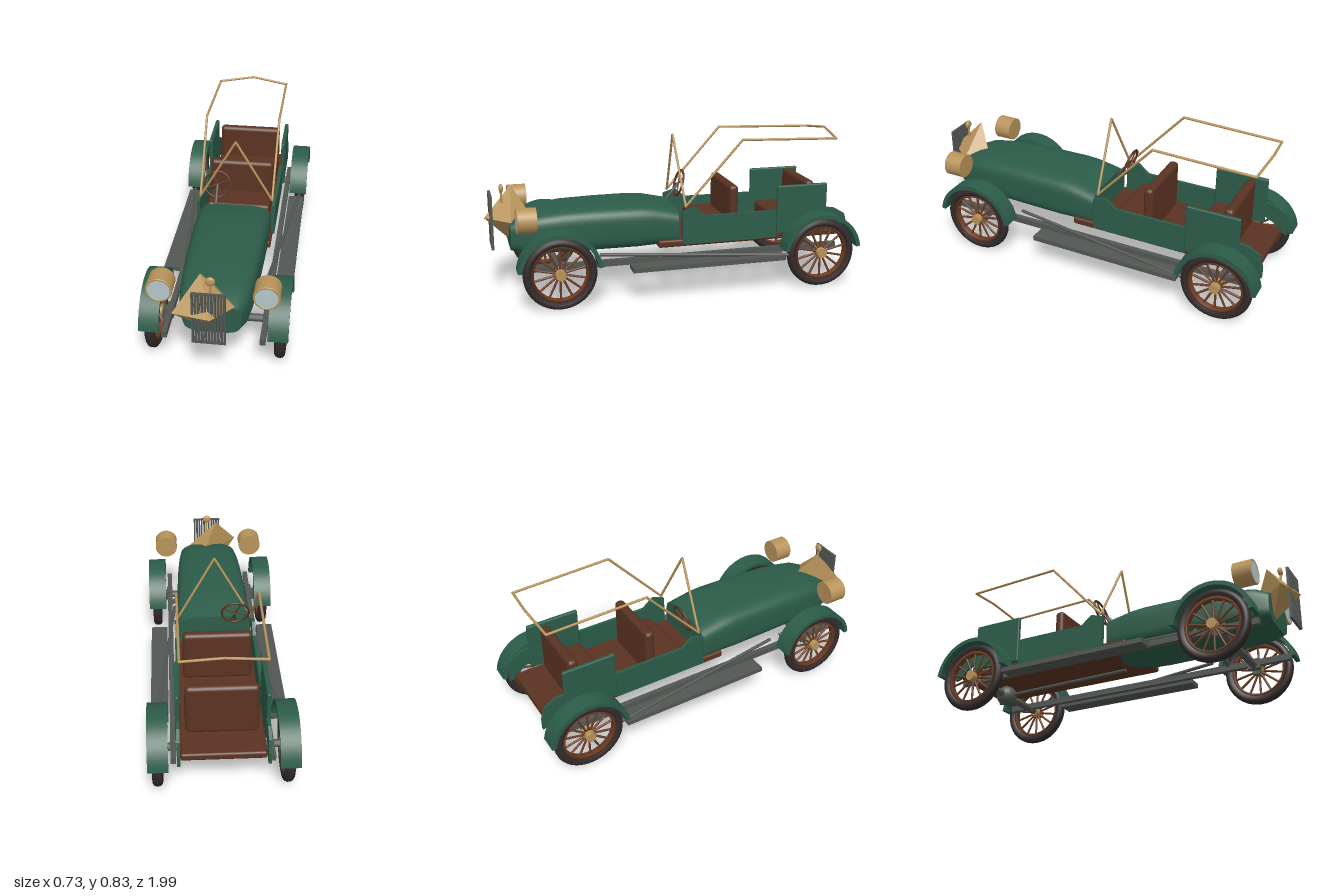
import * as THREE from 'three';
import { RoundedBoxGeometry } from 'three/addons/geometries/RoundedBoxGeometry.js';
import { ConvexGeometry } from 'three/addons/geometries/ConvexGeometry.js';

const mat = (name, color) => Object.assign(new THREE.MeshStandardMaterial({ color }), { name });
const V = (x, y, z) => new THREE.Vector3(x, y, z);

export function createModel() {
  const car = new THREE.Group();
  car.name = 'vintageCar';
  const green = mat('greenPaint', 0x2c5c49);
  const leather = mat('brownLeather', 0x5a3322);
  const wood = mat('spokeWood', 0x6b3c24);
  const brass = mat('brass', 0xb8935a);
  const rubber = mat('rubber', 0x332a2b);
  const steel = mat('darkSteel', 0x535753);
  const glass = mat('lampGlass', 0xb4c6ca);

  const add = (name, geo, material, parent = car) => {
    const m = new THREE.Mesh(geo, material);
    m.name = name;
    parent.add(m);
    return m;
  };
  // Box from its min and max corners
  const box = (name, x0, x1, y0, y1, z0, z1, material, round = 0) => {
    const s = [x1 - x0, y1 - y0, z1 - z0];
    const g = round ? new RoundedBoxGeometry(...s, 3, round) : new THREE.BoxGeometry(...s);
    return add(name, g.translate((x0 + x1) / 2, (y0 + y1) / 2, (z0 + z1) / 2), material);
  };
  // Round bar between two points
  const bar = (name, a, b, r, material, parent = car) => {
    const m = add(name, new THREE.CylinderGeometry(r, r, a.distanceTo(b), 12), material, parent);
    m.position.copy(a).add(b).multiplyScalar(0.5);
    m.quaternion.setFromUnitVectors(V(0, 1, 0), b.clone().sub(a).normalize());
    return m;
  };
  // Plate drawn in (z, y) and extruded across x
  const plate = (name, shape, x0, x1, material, curveSegments = 24) => {
    const g = new THREE.ExtrudeGeometry(shape, { depth: x1 - x0, bevelEnabled: false, curveSegments });
    return add(name, g.rotateY(-Math.PI / 2).translate(x1, 0, 0), material);
  };
  const poly = (pts) => new THREE.Shape(pts.map((p) => new THREE.Vector2(...p)));

  // Bonnet: superellipse sections [z, half width, bottom, top]
  const sections = [[0.87, 0.14, 0.26, 0.42], [0.8, 0.168, 0.245, 0.45], [0.7, 0.18, 0.238, 0.465],
    [0.58, 0.188, 0.236, 0.477], [0.4, 0.195, 0.236, 0.481], [0.2, 0.2, 0.236, 0.481],
    [0.12, 0.2, 0.24, 0.474], [-0.015, 0.2, 0.245, 0.443]];
  const N = 48, pos = [], idx = [];
  const ring = ([z, w, y0, y1]) => {
    for (let i = 0; i < N; i++) {
      const a = (i / N) * Math.PI * 2, c = Math.cos(a), s = Math.sin(a);
      const e = 0.52;
      pos.push(w * Math.sign(c) * Math.abs(c) ** e,
        (y0 + y1) / 2 + ((y1 - y0) / 2) * Math.sign(s) * Math.abs(s) ** e, z);
    }
  };
  sections.forEach(ring);
  for (let s = 0; s < sections.length - 1; s++) {
    for (let i = 0; i < N; i++) {
      const a = s * N + i, b = s * N + ((i + 1) % N);
      idx.push(a, a + N, b, b, a + N, b + N);
    }
  }
  [sections[0], sections.at(-1)].forEach((sec, k) => {
    const o = pos.length / 3;
    ring(sec);
    pos.push(0, (sec[2] + sec[3]) / 2, sec[0]);
    for (let i = 0; i < N; i++) {
      const j = o + ((i + 1) % N);
      if (k) idx.push(o + N, j, o + i);
      else idx.push(o + N, o + i, j);
    }
  });
  const bonnet = new THREE.BufferGeometry();
  bonnet.setAttribute('position', new THREE.Float32BufferAttribute(pos, 3));
  bonnet.setIndex(idx);
  bonnet.computeVertexNormals();
  add('bonnet', bonnet, green);

  // Floor and two bench seats
  box('floor', -0.208, 0.208, 0.245, 0.285, -0.95, 0.1, leather, 0.012);
  for (const z of [-0.3, -0.74]) {
    box('seatCushion', -0.18, 0.18, 0.28, 0.37, z - 0.01, z + 0.165, leather, 0.02);
    const back = box('seatBack', -0.18, 0.18, 0.28, 0.555, z - 0.055, z - 0.002, leather, 0.022);
    back.name = 'seatBack';
  }

  // Wheel: tyre, rim, spokes and hub, axle along x
  const lathe = (pts) => new THREE.LatheGeometry(pts.map((p) => new THREE.Vector2(...p)), 48).rotateZ(-Math.PI / 2);
  const tyreGeo = lathe([[0.147, -0.018], [0.162, -0.026], [0.176, -0.025], [0.186, -0.017], [0.19, -0.007],
    [0.19, 0.007], [0.186, 0.017], [0.176, 0.025], [0.162, 0.026], [0.147, 0.018], [0.147, -0.018]]);
  const rimGeo = lathe([[0.136, -0.016], [0.149, -0.019], [0.149, 0.019], [0.136, 0.016], [0.136, -0.016]]);
  const wheel = (x, z) => {
    const w = new THREE.Group();
    w.name = 'wheel';
    w.position.set(x, 0.19, z);
    add('tyre', tyreGeo, rubber, w);
    add('rim', rimGeo, wood, w);
    for (let i = 0; i < 14; i++) {
      const a = (i / 14) * Math.PI * 2;
      bar('spoke', V(0, 0, 0), V(0, Math.cos(a) * 0.14, Math.sin(a) * 0.14), 0.006, wood, w);
    }
    add('hub', new THREE.CylinderGeometry(0.027, 0.027, 0.07, 24).rotateZ(Math.PI / 2), brass, w);
    car.add(w);
  };

  for (const s of [1, -1]) {
    const span = (a, b) => (s > 0 ? [a, b] : [-b, -a]);
    // Wheels and arched mudguards
    for (const z of [0.645, -0.78]) {
      wheel(s * 0.32, z);
      const arc = new THREE.Shape();
      arc.absarc(z, 0.19, 0.219, 0.14, Math.PI - 0.14, false);
      arc.absarc(z, 0.19, 0.197, Math.PI - 0.14, 0.14, true);
      plate('mudguard', arc, ...span(0.265, 0.365), green, 32);
    }
    // Body sides
    plate('sidePanel', poly([[-0.56, 0.26], [-0.03, 0.26], [-0.03, 0.44], [-0.1, 0.462], [-0.16, 0.412], [-0.56, 0.412]]),
      ...span(0.2, 0.218), green);
    box('rearSidePanel', ...span(0.206, 0.228), 0.28, 0.55, -0.85, -0.56, green, 0.008);
    plate('rearQuarter', poly([[-0.98, 0.24], [-0.945, 0.25], [-0.9, 0.3], [-0.84, 0.33], [-0.84, 0.412], [-0.9, 0.405], [-0.96, 0.37], [-0.98, 0.3]]),
      ...span(0.208, 0.224), green);

    // Chassis rail, running board and brace
    box('chassisRail', ...span(0.228, 0.255), 0.185, 0.218, -0.9, 0.85, steel);
    box('runningBoard', ...span(0.262, 0.353), 0.17, 0.195, -0.57, 0.27, steel);
    bar('brace', V(s * 0.215, 0.24, 0.42), V(s * 0.325, 0.19, -0.6), 0.009, steel);
    box('axleMount', ...span(0.227, 0.262), 0.17, 0.225, 0.61, 0.68, steel);
    box('steeringKnuckle', ...span(0.262, 0.29), 0.15, 0.21, 0.625, 0.665, steel);
    bar('frameLink', V(s * 0.2, 0.245, 0.5), V(s * 0.235, 0.215, 0.5), 0.012, steel);

    // Headlamps
    const lampX = s * 0.257;
    add('headlamp', new THREE.CylinderGeometry(0.065, 0.065, 0.095, 32).rotateX(Math.PI / 2), brass).position.set(lampX, 0.465, 0.797);
    add('headlampRim', new THREE.TorusGeometry(0.06, 0.006, 8, 32), brass).position.set(lampX, 0.465, 0.845);
    add('headlampGlass', new THREE.CylinderGeometry(0.057, 0.057, 0.006, 32).rotateX(Math.PI / 2), glass).position.set(lampX, 0.465, 0.846);

    // Half of the windscreen and hood frame
    const foot = V(s * 0.2, 0.465, -0.05), bow = V(s * 0.205, 0.81, -0.36), tail = V(s * 0.202, 0.792, -0.9);
    bar('windscreenFrame', foot, V(0, 0.82, -0.03), 0.0065, brass);
    bar('hoodFrameStrut', foot, bow, 0.0065, brass);
    bar('hoodFrameRail', bow, tail, 0.0065, brass);
    bar('hoodFrameRear', tail, V(0, 0.82, -0.92), 0.0065, brass);
    for (const p of [foot, bow, tail]) {
      add('frameJoint', new THREE.SphereGeometry(0.007, 10, 8), brass).position.copy(p);
    }
  }

  // Axles, differential and drive shaft
  for (const z of [0.645, -0.78]) bar('axle', V(-0.3, 0.19, z), V(0.3, 0.19, z), 0.02, steel);
  add('differential', new THREE.SphereGeometry(0.057, 24, 16), steel).position.set(0, 0.19, -0.78);
  bar('driveShaft', V(0, 0.19, -0.78), V(0, 0.2, 0), 0.009, steel);

  // Faceted radiator shell, slatted grille and cap
  add('radiatorShell', new ConvexGeometry([V(-0.178, 0.415, 0.95), V(0.11, 0.415, 0.865), V(0.01, 0.425, 0.995),
    V(0.03, 0.415, 0.745), V(-0.055, 0.58, 0.845), V(-0.04, 0.268, 0.845)]), brass);
  for (let i = 0; i < 11; i++) {
    const x = -0.0765 + i * 0.0151;
    box('grilleSlat', x - 0.0053, x + 0.0053, 0.268, 0.547, 0.953, 0.967, steel);
  }
  for (const y of [0.265, 0.543]) box('grilleBar', -0.082, 0.08, y, y + 0.007, 0.952, 0.966, steel);
  add('radiatorCap', new THREE.SphereGeometry(0.024, 20, 14).scale(1, 1, 0.5), brass).position.set(0, 0.577, 0.9);
  bar('capStem', V(0, 0.5, 0.9), V(0, 0.57, 0.9), 0.006, brass);

  // Steering wheel and column
  const steering = new THREE.Group();
  steering.name = 'steeringWheel';
  steering.position.set(-0.11, 0.52, -0.095);
  steering.rotation.x = -0.28;
  add('steeringRim', new THREE.TorusGeometry(0.073, 0.006, 10, 32), leather, steering);
  for (let i = 0; i < 4; i++) {
    const a = (i * Math.PI) / 2 + 0.4;
    bar('steeringSpoke', V(0, 0, 0), V(Math.cos(a) * 0.072, Math.sin(a) * 0.072, 0), 0.004, leather, steering);
  }
  car.add(steering);
  bar('steeringColumn', V(-0.11, 0.52, -0.095), V(-0.11, 0.38, 0.02), 0.007, steel);

  return car;
}
